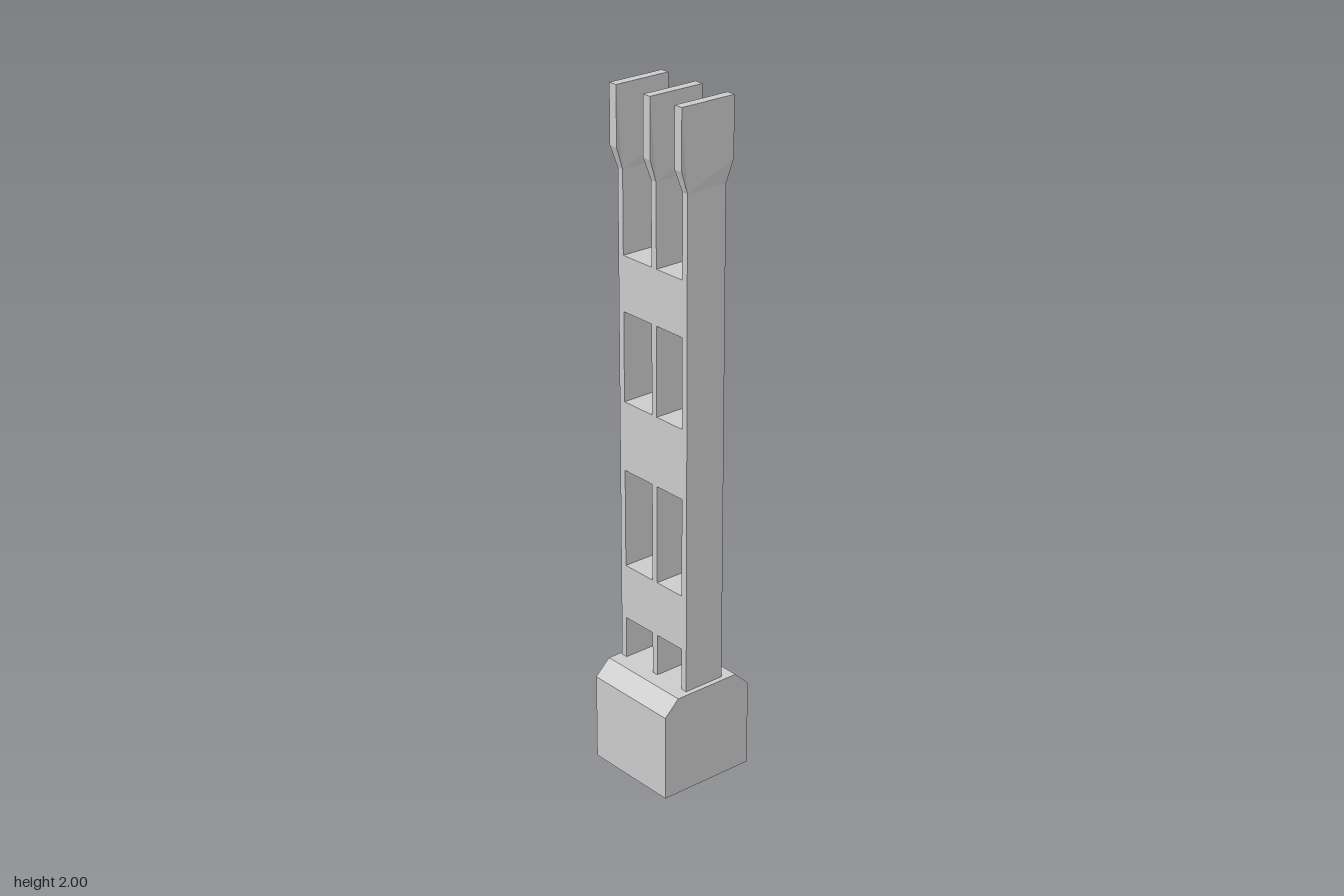
import * as THREE from 'three';

const material = new THREE.MeshStandardMaterial({ color: 0xcccccc, flatShading: true });

// Extrudes a mirrored side profile of [half depth, height] points across x
function extrudeSide(halfProfile, width) {
  const mirrored = halfProfile.map(([z, y]) => [-z, y]).reverse();
  const shape = new THREE.Shape([...halfProfile, ...mirrored].map(([z, y]) => new THREE.Vector2(z, y)));
  const geometry = new THREE.ExtrudeGeometry(shape, { depth: width, bevelEnabled: false });
  geometry.translate(0, 0, -width / 2);
  geometry.rotateY(-Math.PI / 2);
  return geometry;
}

export function createModel() {
  const model = new THREE.Group();
  model.name = 'tower';

  function add(name, geometry, x, y, z) {
    const mesh = new THREE.Mesh(geometry, material);
    mesh.name = name;
    mesh.position.set(x, y, z);
    model.add(mesh);
  }

  // Base block, chamfered along its front and back top edges
  add('base', extrudeSide([[0.153, 0], [0.153, 0.26], [0.106, 0.305]], 0.305), 0, 0, 0);

  // Upright planks that flare in depth and thickness near the top
  const baseTop = 0.305, flareStart = 1.765, flareEnd = 1.83;
  const depth = 0.131, topWidth = 0.028, lowWidth = 0.02, zMid = -0.0015;
  const plank = extrudeSide(
    [[depth / 2, baseTop], [depth / 2, flareStart], [0.0885, flareEnd], [0.0885, 2]], topWidth);
  const p = plank.attributes.position;
  for (let i = 0; i < p.count; i++) {
    if (p.getY(i) < flareStart + 0.01) p.setX(i, p.getX(i) * lowWidth / topWidth);
  }
  plank.computeVertexNormals();
  const plankX = [-0.134, 0.0025, 0.127];
  ['rightPlank', 'middlePlank', 'leftPlank'].forEach((name, i) => add(name, plank, plankX[i], 0, zMid));

  // Solid crossbars filling the two bays between planks
  const levels = [[0.432, 0.598], [0.893, 1.1], [1.364, 1.525]];
  for (const [bottom, top] of levels) {
    for (let i = 0; i < 2; i++) {
      const width = plankX[i + 1] - plankX[i] - lowWidth;
      add('crossbar', new THREE.BoxGeometry(width, top - bottom, depth),
        (plankX[i] + plankX[i + 1]) / 2, (bottom + top) / 2, zMid);
    }
  }
  return model;
}
